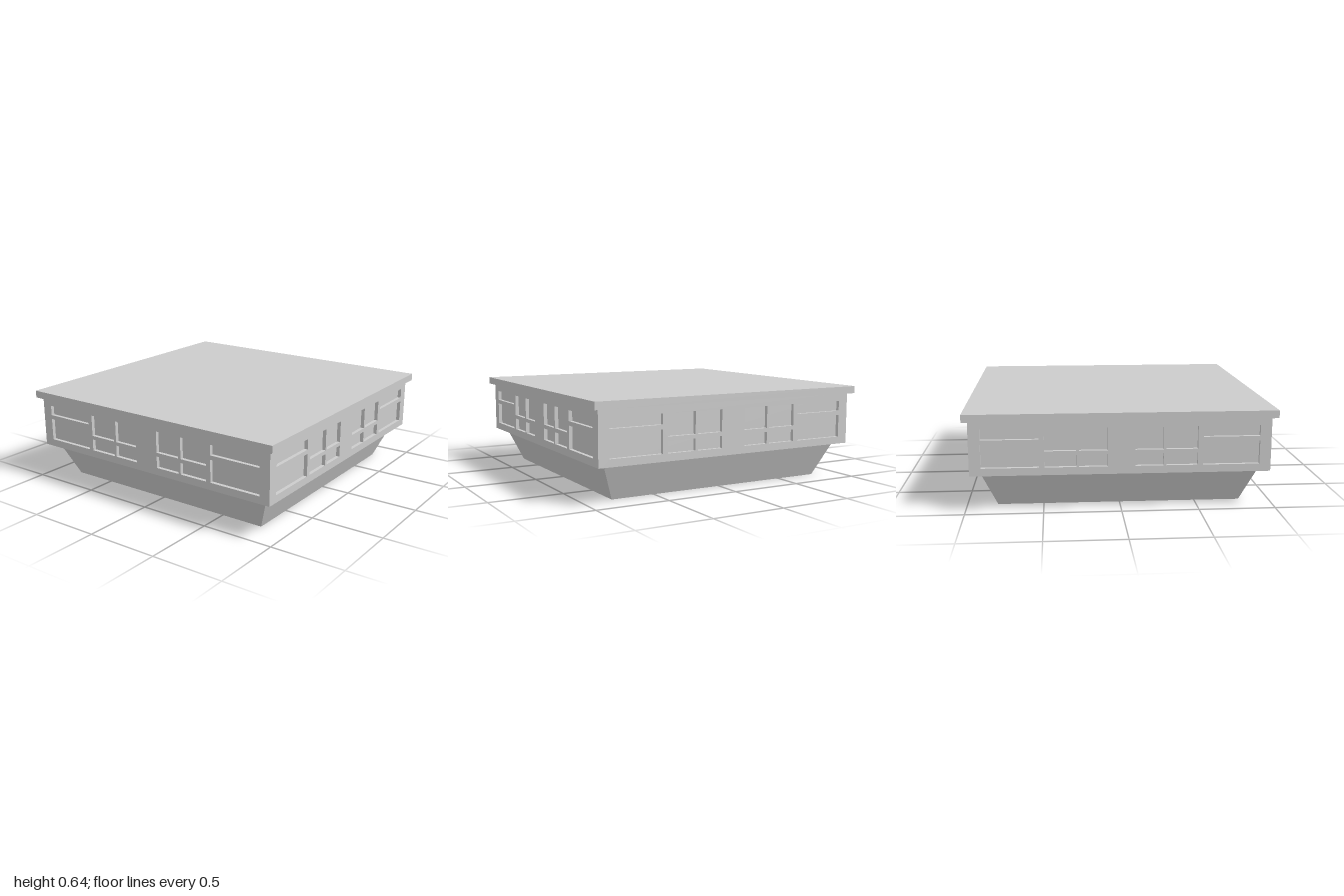
import * as THREE from 'three';

const BODY = 0.965, BOTTOM = 0.24, TOP = 0.595, RECESS = 0.025;
const CORE = BODY - RECESS;

// Window openings on the +x half of a wall: [x0, x1, y0, y1]
const WINDOWS = [
  [0.088, 0.27, 0.29, 0.37],
  [0.088, 0.27, 0.396, 0.543],
  [0.288, 0.491, 0.29, 0.37],
  [0.288, 0.491, 0.396, 0.543],
  [0.525, 0.892, 0.29, 0.444],
  [0.525, 0.892, 0.473, 0.543],
];

function rect(PathType, x0, x1, y0, y1) {
  return new PathType([
    new THREE.Vector2(x0, y0), new THREE.Vector2(x1, y0),
    new THREE.Vector2(x1, y1), new THREE.Vector2(x0, y1),
  ]);
}

// Wall panel pierced by mirrored window openings
function wallGeometry(halfWidth) {
  const shape = rect(THREE.Shape, -halfWidth, halfWidth, BOTTOM, TOP);
  for (const [x0, x1, y0, y1] of WINDOWS) {
    shape.holes.push(rect(THREE.Path, x0, x1, y0, y1), rect(THREE.Path, -x1, -x0, y0, y1));
  }
  return new THREE.ExtrudeGeometry(shape, { depth: RECESS, bevelEnabled: false });
}

export function createModel() {
  const model = new THREE.Group();
  model.name = 'building';
  const material = new THREE.MeshStandardMaterial({ color: 0xcccccc, flatShading: true });

  function add(name, geometry, y = 0) {
    const mesh = new THREE.Mesh(geometry, material);
    mesh.name = name;
    mesh.position.y = y;
    model.add(mesh);
    return mesh;
  }

  // Tapered square base
  const base = new THREE.CylinderGeometry(0.9 * Math.SQRT2, 0.8 * Math.SQRT2, BOTTOM, 4);
  add('base', base.rotateY(Math.PI / 4), BOTTOM / 2);

  // Inner block, seen as the recessed window panes
  add('windowPanes', new THREE.BoxGeometry(2 * CORE, TOP - BOTTOM, 2 * CORE), (BOTTOM + TOP) / 2);

  // Four walls; the side walls fit between the front and back ones
  ['frontWall', 'leftWall', 'backWall', 'rightWall'].forEach((name, i) => {
    const geometry = wallGeometry(i % 2 ? CORE : BODY);
    geometry.translate(0, 0, CORE).rotateY(i * Math.PI / 2);
    add(name, geometry);
  });

  // Flat overhanging roof
  add('roof', new THREE.BoxGeometry(2, 0.05, 2), TOP + 0.025);

  return model;
}
